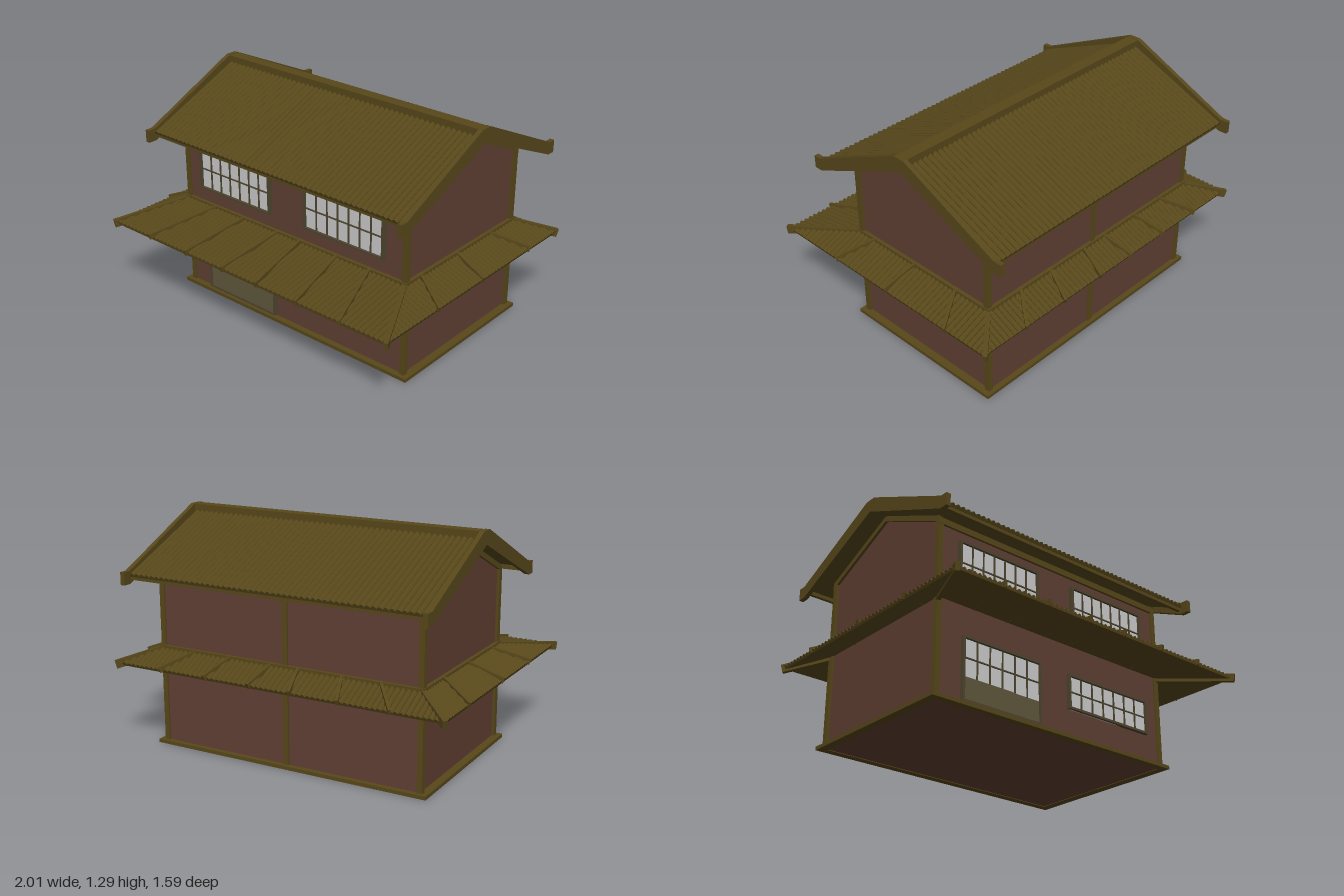
import * as THREE from 'three';

const mat = (color) => new THREE.MeshStandardMaterial({ color, side: THREE.DoubleSide });

export function createModel() {
  const house = new THREE.Group();
  house.name = 'house';
  const wood = mat(0x57471a), wall = mat(0x604033), tile = mat(0x57471a);
  const frame = mat(0x4f4630), panel = mat(0x60573b), paper = mat(0xcccccc);
  const V = (x, y, z) => new THREE.Vector3(x, y, z);

  const add = (name, geometry, material, parent = house) => {
    const mesh = new THREE.Mesh(geometry, material);
    mesh.name = name;
    parent.add(mesh);
    return mesh;
  };

  // Box given by its extents
  const box = (name, x0, x1, y0, y1, z0, z1, material = wood, parent = house) => {
    const m = add(name, new THREE.BoxGeometry(x1 - x0, y1 - y0, z1 - z0), material, parent);
    m.position.set((x0 + x1) / 2, (y0 + y1) / 2, (z0 + z1) / 2);
    return m;
  };

  // Beam running between two points
  const beam = (name, a, b, w, h, parent = house) => {
    const m = add(name, new THREE.BoxGeometry(w, h, a.distanceTo(b)), wood, parent);
    m.position.copy(a).add(b).multiplyScalar(0.5);
    m.lookAt(b);
    return m;
  };

  // Outline in (z, y), extruded along x
  const profileX = (name, pts, x0, x1, material) => {
    const shape = new THREE.Shape(pts.map(([z, y]) => new THREE.Vector2(-z, y)));
    const g = new THREE.ExtrudeGeometry(shape, { depth: x1 - x0, bevelEnabled: false });
    g.rotateY(Math.PI / 2).translate(x0, 0, 0);
    return add(name, g, material);
  };

  // Ribbed roof slope: eave A-B, top edge a-b, trimmed along the hips, with flat underside
  const roofSlope = (name, A, B, a, b, pitch = 0.033, r = 0.013, thick = 0.01) => {
    const d = B.clone().sub(A), len = d.length();
    d.normalize();
    const ua = a.clone().sub(A).dot(d), ub = b.clone().sub(A).dot(d);
    const up = a.clone().sub(A).addScaledVector(d, -ua);
    const n = d.clone().cross(up).normalize();
    const count = Math.round(len / pitch), steps = count * 8;
    const pos = [];
    const quad = (p, q, s, t) => [p, q, s, p, s, t].forEach((v) => pos.push(v.x, v.y, v.z));
    const column = (i) => {
      const u = (len * i) / steps;
      let f = 1;
      if (u < ua) f = u / ua;
      else if (u > ub) f = (len - u) / (len - ub);
      const h = r * Math.abs(Math.sin((Math.PI * i) / 8));
      const low = A.clone().addScaledVector(d, u), high = low.clone().addScaledVector(up, f);
      return {
        o: low.clone().addScaledVector(n, h), i: high.clone().addScaledVector(n, h),
        ou: low.addScaledVector(n, -thick), iu: high.addScaledVector(n, -thick),
      };
    };
    for (let k = 0; k < steps; k++) {
      const p = column(k), q = column(k + 1);
      quad(p.o, q.o, q.i, p.i);
      quad(p.iu, q.iu, q.ou, p.ou);
      quad(p.ou, q.ou, q.o, p.o);
    }
    const g = new THREE.BufferGeometry();
    g.setAttribute('position', new THREE.Float32BufferAttribute(pos, 3));
    g.computeVertexNormals();
    return add(name, g, tile);
  };

  // Walls with gable ends
  profileX('walls', [[0.37, 0.004], [0.37, 1.0], [-0.11, 1.225], [-0.59, 1.0], [-0.59, 0.004]], -0.785, 0.785, wall);

  // Ground sill
  box('frontSill', -0.83, 0.83, 0, 0.02, 0.36, 0.405);
  box('backSill', -0.83, 0.83, 0, 0.02, -0.62, -0.575);
  for (const s of [-1, 1]) {
    const x = s * 0.805;
    box('sideSill', x - 0.025, x + 0.025, 0, 0.02, -0.6, 0.39);
    // Corner posts
    const px = s * 0.786;
    box('frontPost', px - 0.015, px + 0.015, 0.01, 1.0, 0.35, 0.382);
    box('backPost', px - 0.015, px + 0.015, 0.01, 1.0, -0.6, -0.568);
    // Rail above the skirt roof
    box('sideRail', px - 0.02, px + 0.02, 0.55, 0.575, -0.61, 0.39);
    // Sloping gable trim under the roof
    for (const z of [0.38, -0.6]) beam('gableTrim', V(s * 0.79, 0.992, z), V(s * 0.79, 1.213, -0.11), 0.02, 0.03);
  }
  box('backMiddlePost', -0.016, 0.016, 0.01, 1.0, -0.6, -0.568);
  box('frontRail', -0.805, 0.805, 0.55, 0.575, 0.36, 0.39);
  box('backRail', -0.805, 0.805, 0.55, 0.575, -0.61, -0.58);
  box('frontWallPlate', -0.8, 0.8, 0.965, 1.0, 0.355, 0.384);
  box('backWallPlate', -0.8, 0.8, 0.965, 1.0, -0.604, -0.575);

  // Main roof
  const L = 0.88, ridgeZ = -0.11, eaveY = 0.987, ridgeY = 1.255;
  roofSlope('frontRoof', V(-L, eaveY, 0.53), V(L, eaveY, 0.53), V(-L, ridgeY, ridgeZ), V(L, ridgeY, ridgeZ));
  roofSlope('backRoof', V(L, eaveY, -0.75), V(-L, eaveY, -0.75), V(L, ridgeY, ridgeZ), V(-L, ridgeY, ridgeZ));
  box('frontFascia', -L, L, 0.96, 0.982, 0.5, 0.52);
  box('backFascia', -L, L, 0.96, 0.982, -0.74, -0.72);
  box('ridgeBeam', -0.9, 0.9, 1.235, 1.288, -0.145, -0.075);
  const half = [[0.035, 1.29], [0.64, 1.01], [0.685, 1.01], [0.685, 0.938], [0.635, 0.938]];
  const barge = [
    ...half.map(([z, y]) => [ridgeZ + z, y]),
    [ridgeZ, 1.215],
    ...half.map(([z, y]) => [ridgeZ - z, y]).reverse(),
  ];
  profileX('leftBargeboard', barge, 0.88, 0.906, wood);
  profileX('rightBargeboard', barge, -0.906, -0.88, wood);

  // Skirt roof round all four sides
  const inner = [V(-0.79, 0.557, 0.375), V(0.79, 0.557, 0.375), V(0.79, 0.557, -0.595), V(-0.79, 0.557, -0.595)];
  const outer = [V(-0.985, 0.48, 0.77), V(0.985, 0.48, 0.77), V(0.985, 0.48, -0.755), V(-0.985, 0.48, -0.755)];
  ['frontSkirtRoof', 'leftSkirtRoof', 'backSkirtRoof', 'rightSkirtRoof'].forEach((name, i) => {
    const j = (i + 1) % 4;
    roofSlope(name, outer[i], outer[j], inner[i], inner[j], 0.031);
    // Hip beam at each corner
    const end = outer[i].clone().add(V(Math.sign(outer[i].x) * 0.006, -0.005, Math.sign(outer[i].z) * 0.014));
    beam('hipBeam', inner[i].clone().setY(0.548), end, 0.024, 0.046);
  });

  // Fanned rafters across the skirt roof
  for (const s of [-1, 1]) {
    for (const [xi, xo] of [[0.08, 0.125], [0.34, 0.405], [0.56, 0.695]]) {
      beam('frontRafter', V(s * xi, 0.562, 0.375), V(s * xo, 0.486, 0.78), 0.015, 0.032);
      beam('backRafter', V(s * xi, 0.562, -0.595), V(s * xo, 0.486, -0.765), 0.015, 0.032);
    }
    for (const [zi, zo] of [[0.25, 0.36], [-0.06, -0.03], [-0.36, -0.48]])
      beam('sideRafter', V(s * 0.79, 0.562, zi), V(s * 0.993, 0.486, zo), 0.015, 0.032);
  }

  // Lattice opening: border, panes and bars; panes start at yPane
  const lattice = (name, x0, x1, y0, y1, cols, zf, yPane = y0) => {
    const g = new THREE.Group();
    g.name = name;
    house.add(g);
    const t = 0.013, zb = 0.365;
    box('paper', x0 + t, x1 - t, yPane, y1 - t, zb, zf - 0.014, paper, g);
    box('frameSide', x0, x0 + t, y0, y1, zb, zf, frame, g);
    box('frameSide', x1 - t, x1, y0, y1, zb, zf, frame, g);
    box('frameTop', x0, x1, y1 - t, y1, zb, zf, frame, g);
    box('frameBottom', x0, x1, y0, y0 + t, zb, zf, frame, g);
    const step = (x1 - x0 - 2 * t) / cols;
    for (let i = 1; i < cols; i++) {
      const x = x0 + t + i * step;
      box('verticalBar', x - 0.0035, x + 0.0035, yPane, y1 - t, zb, zf - 0.007, frame, g);
    }
    const ym = (Math.max(yPane, y0 + t) + y1 - t) / 2;
    box('crossBar', x0 + t, x1 - t, ym - 0.0035, ym + 0.0035, zb, zf - 0.008, frame, g);
    return g;
  };
  lattice('upperRightWindow', -0.67, -0.13, 0.66, 0.908, 7, 0.398);
  lattice('upperLeftWindow', 0.117, 0.66, 0.66, 0.908, 7, 0.398);
  lattice('lowerLeftWindow', 0.085, 0.685, 0.175, 0.375, 7, 0.392);
  const door = lattice('slidingDoor', -0.635, -0.112, 0.025, 0.38, 6, 0.392, 0.16);
  // Solid lower door panels, the last one set back
  box('doorPanel', -0.622, -0.285, 0.038, 0.16, 0.365, 0.385, panel, door);
  box('doorPanel', -0.285, -0.125, 0.038, 0.16, 0.365, 0.38, panel, door);

  return house;
}
